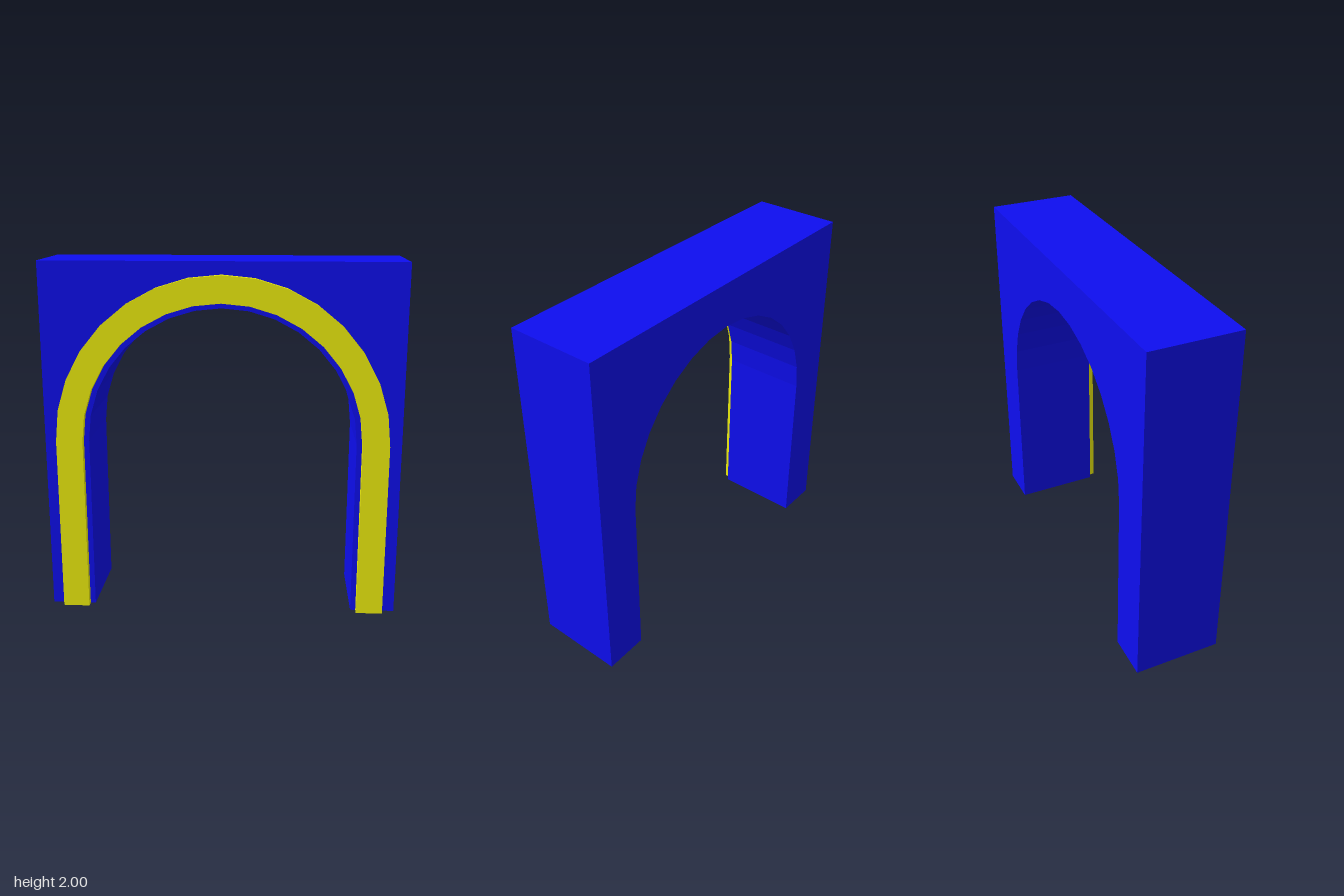
import * as THREE from 'three';

const SPRING = 1;     // height where the curve begins
const SEGMENTS = 16;  // facets in the half circle

// Outline of a round-topped arch: up the right leg, over, down the left leg
function archPoints(radius) {
  const points = [new THREE.Vector2(radius, 0)];
  for (let i = 0; i <= SEGMENTS; i++) {
    const a = (i / SEGMENTS) * Math.PI;
    points.push(new THREE.Vector2(radius * Math.cos(a), SPRING + radius * Math.sin(a)));
  }
  points.push(new THREE.Vector2(-radius, 0));
  return points;
}

// Extrude an outline from zBack to zFront
function slab(name, points, zBack, zFront, color) {
  const geometry = new THREE.ExtrudeGeometry(new THREE.Shape(points), {
    depth: zFront - zBack,
    bevelEnabled: false,
  });
  geometry.translate(0, 0, zBack);
  const material = new THREE.MeshStandardMaterial({ color, flatShading: true });
  const mesh = new THREE.Mesh(geometry, material);
  mesh.name = name;
  return mesh;
}

export function createModel() {
  const group = new THREE.Group();
  group.name = 'archway';

  // Square block with the arched opening cut from its base
  const wall = [
    new THREE.Vector2(1, 0),
    new THREE.Vector2(1, 2),
    new THREE.Vector2(-1, 2),
    new THREE.Vector2(-1, 0),
    ...archPoints(0.75).reverse(),
  ];
  group.add(slab('archBlock', wall, -0.27, 0.23, 0x0e0ef0));

  // Raised band around the opening, on the front only
  const band = [...archPoints(0.93), ...archPoints(0.78).reverse()];
  group.add(slab('archTrim', band, 0.23, 0.27, 0xf0f00e));

  return group;
}
